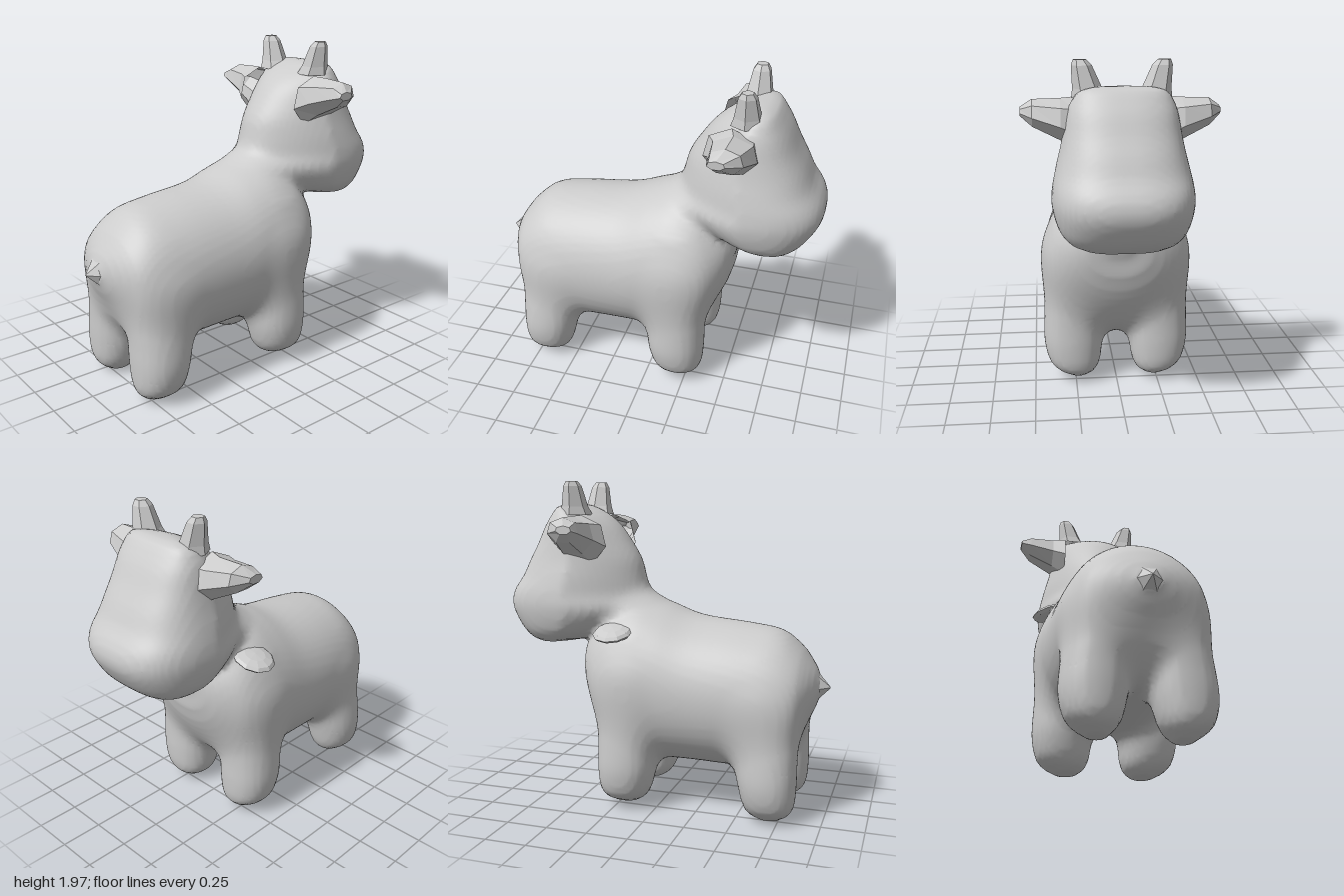
import * as THREE from 'three';

// Smoothly resample a short table of cross-sections (Catmull-Rom).
function resample(rows, steps) {
  const out = [];
  const at = (i) => rows[Math.min(Math.max(i, 0), rows.length - 1)];
  for (let k = 0; k <= (rows.length - 1) * steps; k++) {
    const i = Math.floor(k / steps), t = (k % steps) / steps;
    const [a, b, c, d] = [at(i - 1), at(i), at(i + 1), at(i + 2)];
    out.push(b.map((p, j) => p + 0.5 * t * (c[j] - a[j]
      + t * (2 * a[j] - 5 * p + 4 * c[j] - d[j] + t * (3 * (p - c[j]) + d[j] - a[j])))));
  }
  return out;
}

// Solid from cross-sections along an axis t: rows of t, centre u, radius u, centre v, radius v.
// Returns an approximate signed distance; shape(v) gives [exponent, width factor].
function solid(table, shape) {
  const rows = resample(table, 4);
  const lo = rows[0][0], hi = rows[rows.length - 1][0];
  return (t, u, v) => {
    const tc = Math.min(Math.max(t, lo), hi);
    const i = Math.max(1, rows.findIndex((r) => r[0] >= tc));
    const a = rows[i - 1], b = rows[i], f = (tc - a[0]) / (b[0] - a[0]);
    const [cu, ru, cv, rv] = [1, 2, 3, 4].map((j) => a[j] + (b[j] - a[j]) * f);
    const y = (v - cv) / rv;
    const [n, width] = shape(y);
    const x = (u - cu) / (ru * width);
    const q = (Math.abs(x) ** n + Math.abs(y) ** n) ** (1 / n);
    return Math.max((q - 1) * Math.min(ru, rv), lo - t, t - hi);
  };
}

const blend = (a, b, k) => {
  const h = Math.max(k - Math.abs(a - b), 0) / k;
  return Math.min(a, b) - h * h * k * 0.25;
};

// Skin a signed distance field with one quad per crossed grid edge.
function skin(field, origin, size, step) {
  const stride = [1, size[0], size[0] * size[1]];
  const values = new Float32Array(stride[2] * size[2]);
  const nodes = [];
  for (let k = 0; k < size[2]; k++) for (let j = 0; j < size[1]; j++) for (let i = 0; i < size[0]; i++) {
    values[nodes.length] = field(...[i, j, k].map((g, a) => origin[a] + g * step));
    nodes.push([i, j, k]);
  }
  const points = [], cell = new Map(), index = [];
  nodes.forEach((g, id) => {
    if (g.some((n, a) => n >= size[a] - 1)) return;
    const corner = (c) => values[id + (c & 1) + ((c >> 1) & 1) * stride[1] + (c >> 2) * stride[2]];
    const sum = [0, 0, 0];
    let count = 0;
    for (let c = 0; c < 8; c++) for (let a = 0; a < 3; a++) {
      if (c & (1 << a)) continue;
      const v0 = corner(c), v1 = corner(c | (1 << a));
      if (v0 < 0 === v1 < 0) continue;
      count++;
      for (let d = 0; d < 3; d++) sum[d] += ((c >> d) & 1) + (d === a ? v0 / (v0 - v1) : 0);
    }
    if (!count) return;
    cell.set(id, points.length);
    points.push(new THREE.Vector3(...sum.map((s, d) => origin[d] + (g[d] + s / count) * step)));
  });
  nodes.forEach((g, id) => {
    for (let a = 0; a < 3; a++) {
      const u = (a + 1) % 3, v = (a + 2) % 3;
      if (g[a] >= size[a] - 1 || !g[u] || !g[v]) continue;
      if (values[id] < 0 === values[id + stride[a]] < 0) continue;
      const q = [id, id - stride[u], id - stride[u] - stride[v], id - stride[v]].map((c) => cell.get(c));
      if (values[id] >= 0) q.reverse();
      index.push(q[0], q[1], q[2], q[0], q[2], q[3]);
    }
  });
  const geo = new THREE.BufferGeometry().setFromPoints(points);
  geo.setIndex(index);
  geo.computeVertexNormals();
  return geo;
}

// Faceted loft, closed at the tip: point(row, cos, sin) gives a corner of a cross-section.
function loft(rows, sides, point) {
  const pts = rows.flatMap((row) => Array.from({ length: sides }, (_, k) => {
    const a = (k / sides) * Math.PI * 2;
    return new THREE.Vector3(...point(row, Math.cos(a), Math.sin(a)));
  }));
  const index = [];
  const last = (rows.length - 1) * sides;
  for (let i = 0; i < last; i += sides) {
    for (let k = 0; k < sides; k++) {
      const a = i + k, b = i + (k + 1) % sides;
      index.push(a, b, b + sides, a, b + sides, a + sides);
    }
  }
  for (let k = 1; k < sides - 1; k++) index.push(last, last + k, last + k + 1);
  const geo = new THREE.BufferGeometry().setFromPoints(pts);
  geo.setIndex(index);
  geo.computeVertexNormals();
  return geo;
}

export function createModel() {
  const group = new THREE.Group();
  const smooth = new THREE.MeshStandardMaterial({ color: 0xcccccc });
  const faceted = new THREE.MeshStandardMaterial({ color: 0xcccccc, flatShading: true, side: THREE.DoubleSide });
  const add = (name, geo, mat) => {
    const mesh = new THREE.Mesh(geo, mat);
    mesh.name = name;
    group.add(mesh);
    return mesh;
  };

  // Trunk, chest to rump: z, centre x, half width, centre y, half height
  const trunk = solid([
    [-0.51, 0, 0.08, 0.93, 0.05], [-0.47, 0, 0.24, 0.87, 0.2], [-0.38, 0, 0.37, 0.82, 0.34],
    [-0.28, 0, 0.42, 0.8, 0.45], [-0.15, 0, 0.435, 0.78, 0.5], [0, 0, 0.435, 0.755, 0.485],
    [0.2, 0, 0.425, 0.72, 0.45], [0.5, 0, 0.41, 0.7, 0.435], [0.7, 0, 0.38, 0.7, 0.4],
    [0.82, 0, 0.33, 0.72, 0.29], [0.88, 0, 0.24, 0.75, 0.185], [0.92, 0, 0.14, 0.765, 0.11],
    [0.945, 0, 0.06, 0.77, 0.05],
  ], (v) => [v > 0 ? 2 : 2.1, 1]);

  // Head and neck, chin to crown: y, centre x, half width, centre z, half depth
  const head = solid([
    [0.98, 0, 0.14, -0.72, 0.08], [1.0, 0, 0.26, -0.68, 0.17], [1.07, 0, 0.345, -0.595, 0.33],
    [1.2, 0, 0.385, -0.54, 0.455], [1.3, 0, 0.38, -0.56, 0.425], [1.4, 0, 0.36, -0.54, 0.378],
    [1.5, 0, 0.335, -0.53, 0.34], [1.6, 0, 0.315, -0.532, 0.282], [1.7, 0, 0.295, -0.545, 0.22],
    [1.77, 0, 0.265, -0.565, 0.155], [1.815, 0, 0.225, -0.595, 0.09], [1.835, 0, 0.13, -0.605, 0.04],
  ], (v) => (v < 0 ? [2.8, 1] : [2.2, 1 - 0.35 * Math.min(v, 1)]));

  // Legs, sole to hip: y, centre x, half width, centre z, half depth
  const round = () => [2.2, 1];
  const backLeg = solid([
    [0.0, 0.22, 0.04, 0.69, 0.05], [0.04, 0.23, 0.095, 0.69, 0.115], [0.1, 0.24, 0.145, 0.69, 0.15],
    [0.22, 0.24, 0.175, 0.68, 0.17], [0.36, 0.23, 0.18, 0.665, 0.185], [0.55, 0.205, 0.18, 0.64, 0.205],
    [0.75, 0.18, 0.17, 0.6, 0.18], [0.9, 0.15, 0.08, 0.58, 0.08],
  ], round);
  const frontLeg = solid([
    [0.03, 0.23, 0.05, -0.2, 0.07], [0.06, 0.24, 0.11, -0.2, 0.12], [0.12, 0.255, 0.155, -0.195, 0.155],
    [0.24, 0.262, 0.178, -0.185, 0.175], [0.38, 0.258, 0.182, -0.18, 0.18], [0.6, 0.235, 0.19, -0.175, 0.19],
    [0.85, 0.215, 0.185, -0.17, 0.17], [1.0, 0.18, 0.1, -0.17, 0.08],
  ], round);

  // One continuous skin over trunk, head and legs
  add('body', skin((x, y, z) => {
    const ax = Math.abs(x);
    const legs = Math.min(backLeg(y, ax, z), frontLeg(y, ax, z));
    return blend(blend(trunk(z, ax, y), legs, 0.1), head(y, ax, z), 0.09);
  }, [-0.55, -0.06, -1.06], [45, 80, 85], 0.025), smooth);

  // Ears, root to tip: x, centre y, half height, centre z, half depth
  const ear = [
    [0.25, 1.62, 0.15, -0.47, 0.16], [0.33, 1.65, 0.115, -0.495, 0.14],
    [0.48, 1.685, 0.075, -0.485, 0.1], [0.545, 1.69, 0.025, -0.45, 0.05],
  ];
  // Horns, root to tip: y, centre x, radius
  const horn = [[1.77, 0.17, 0.1], [1.82, 0.185, 0.08], [1.94, 0.215, 0.055], [1.97, 0.225, 0.035]];
  for (const [side, m] of [['left', 1], ['right', -1]]) {
    add(side + 'Ear', loft(ear, 7, ([x, y, h, z, d], c, s) =>
      [m * x, y + h * c, z + m * d * s]), faceted);
    add(side + 'Horn', loft(horn, 6, ([y, x, r], c, s) =>
      [m * (x + r * c), y, -0.54 - m * r * s]), faceted);
  }

  // Tail, a short pointed stub: z, radius
  add('tail', loft([[0.91, 0.11], [0.94, 0.07], [1.0, 0.004]], 6,
    ([z, r], c, s) => [r * c, 0.77 + r * s, z]), faceted);

  // Small fold of skin on the right shoulder
  const fold = add('shoulderFold', new THREE.SphereGeometry(1, 10, 6), faceted);
  fold.scale.set(0.13, 0.035, 0.12);
  fold.rotation.z = 0.3;
  fold.position.set(-0.34, 1.09, -0.24);

  return group;
}
